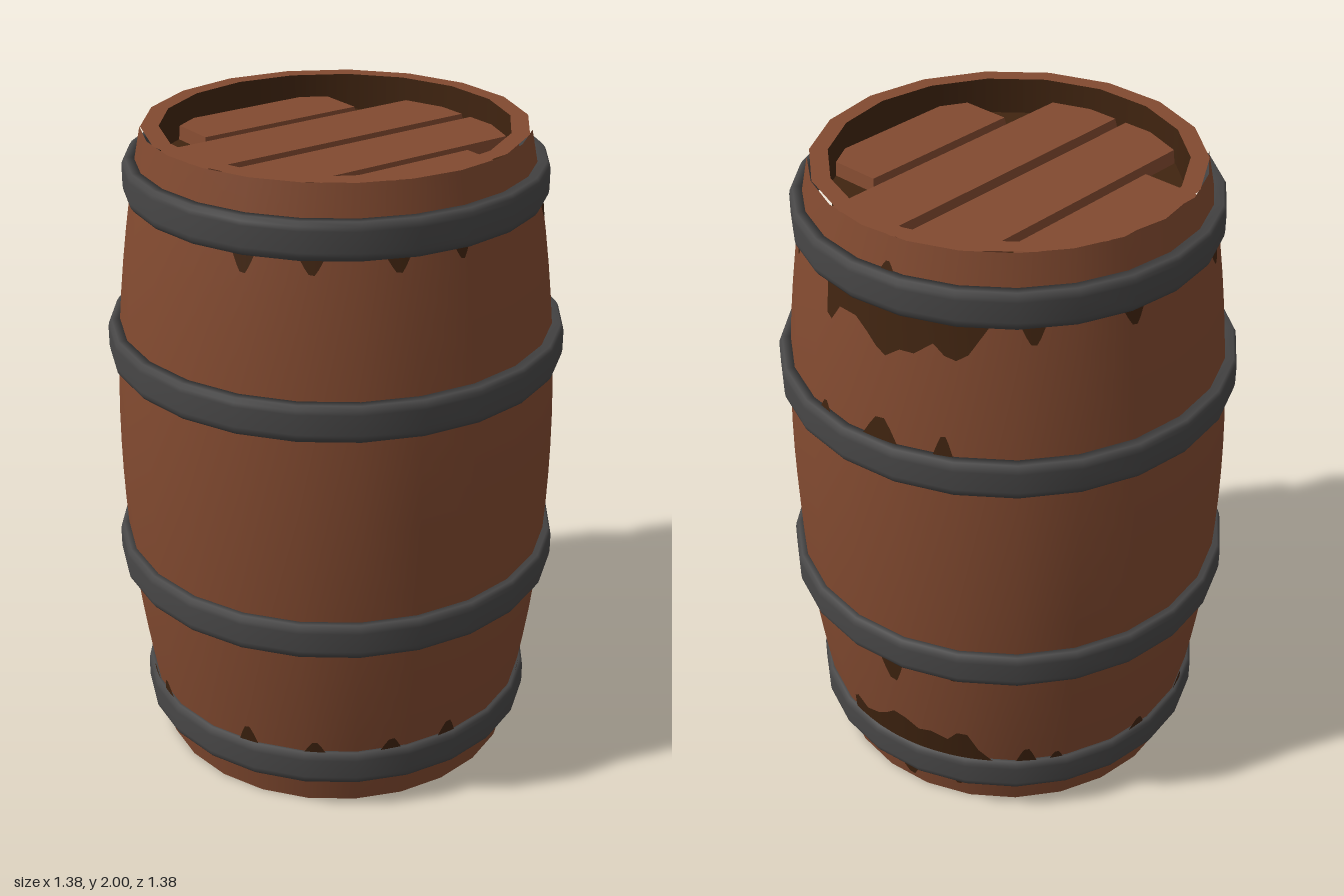
import * as THREE from 'three';

const wood = new THREE.MeshStandardMaterial({ color: 0x824a30 });
wood.name = 'brown wood';
const dark = new THREE.MeshStandardMaterial({ color: 0x402410 });
dark.name = 'dark damp wood';
const iron = new THREE.MeshStandardMaterial({ color: 0x484747 });
iron.name = 'grey iron';

const SIDES = 24;
const bodyRadius = (y) => 0.67 - 0.105 * (y - 1) ** 2;
const rad = THREE.MathUtils.degToRad;

function lathe(points, sides) {
  return new THREE.LatheGeometry(points.map(([x, y]) => new THREE.Vector2(x, y)), sides);
}

// Strip of damp wood hugging the body: outline is a list of [angle in degrees, reach]
function stainGeometry(edge, dir, outline) {
  const pos = [], index = [];
  outline.forEach(([deg, reach], i) => {
    const a = rad(deg);
    for (const y of [edge - dir * 0.015, edge + dir * reach]) {
      const r = bodyRadius(y) + 0.003;
      pos.push(r * Math.sin(a), y, r * Math.cos(a));
    }
    if (i === 0) return;
    const b1 = 2 * i, t1 = b1 + 1, b0 = b1 - 2, t0 = b1 - 1;
    if (dir > 0) index.push(b0, b1, t1, b0, t1, t0);
    else index.push(b0, t1, b1, b0, t0, t1);
  });
  const g = new THREE.BufferGeometry();
  g.setAttribute('position', new THREE.Float32BufferAttribute(pos, 3));
  g.setIndex(index);
  g.computeVertexNormals();
  return g;
}

// Small rounded drip as an outline
const drip = (a, d, w = 3) =>
  [[-1, 0], [-0.6, 0.55], [-0.25, 0.95], [0.25, 1], [0.6, 0.6], [1, 0]].map(([u, v]) => [a + u * w, d * v]);

// Plank with a slightly bevelled top
function plankGeometry(w, h, d) {
  const g = new THREE.BoxGeometry(w, h, d);
  const p = g.attributes.position;
  for (let i = 0; i < p.count; i++) {
    if (p.getY(i) < 0) continue;
    p.setX(i, p.getX(i) - Math.sign(p.getX(i)) * 0.008);
    p.setZ(i, p.getZ(i) - Math.sign(p.getZ(i)) * 0.008);
  }
  g.computeVertexNormals();
  return g;
}

export function createModel() {
  const model = new THREE.Group();
  const add = (name, geometry, material, y = 0, parent = model) => {
    const mesh = new THREE.Mesh(geometry, material);
    mesh.name = name;
    mesh.position.y = y;
    parent.add(mesh);
    return mesh;
  };

  // Bulging body, open at the top, with a dark base
  const profile = [];
  for (let i = 0; i <= 20; i++) profile.push([bodyRadius(i / 10), i / 10]);
  add('body', lathe(profile, SIDES), wood);
  add('base', lathe([[0, 0], [0.565, 0]], SIDES), dark);

  // Rim and the recess inside it
  add('rim', lathe([[0.563, 2], [0.51, 2]], 18), wood);
  add('recessWall', lathe([[0.51, 2], [0.51, 1.88]], 18), dark);
  add('recessFloor', lathe([[0.51, 1.89], [0, 1.89]], 18), dark);

  // Lid planks: two long ones in the middle, a short one on each side
  const lid = new THREE.Group();
  lid.name = 'lid';
  model.add(lid);
  for (const [w, z0, z1] of [[0.56, -0.475, -0.27], [1, -0.25, -0.015], [1, 0.01, 0.24], [0.56, 0.26, 0.475]]) {
    add('lidPlank', plankGeometry(w, 0.05, z1 - z0), wood, 1.905, lid).position.z = (z0 + z1) / 2;
  }

  // Iron hoops with chamfered edges
  for (const [y, r] of [[0.155, 0.622], [0.655, 0.688], [1.355, 0.688], [1.855, 0.622]]) {
    const h = 0.055, inner = r - 0.036;
    add('hoop', lathe([
      [inner, -h], [r - 0.01, -h], [r - 0.002, -h + 0.012], [r, -h + 0.025],
      [r, h - 0.025], [r - 0.002, h - 0.012], [r - 0.01, h], [inner, h], [inner, -h],
    ], SIDES), iron, y);
  }

  // Damp stains: hoop edge, direction, then outlines around the body
  const stains = new THREE.Group();
  stains.name = 'stains';
  model.add(stains);
  const upperPatch = [[79, 0], [80, 0.09], [82, 0.1], [85, 0.05], [91, 0.05], [95, 0.08], [98, 0.11], [101, 0.13],
    [105, 0.1], [109, 0.1], [114, 0.06], [117, 0.09], [120, 0.1], [123, 0.08], [128, 0]];
  const lowerPatch = [[79, 0], [80, 0.06], [82, 0.08], [86, 0.05], [91, 0.07], [95, 0.1], [98, 0.13], [102, 0.12],
    [106, 0.09], [110, 0.1], [115, 0.08], [118, 0.12], [121, 0.12], [124, 0.05], [128, 0]];
  const rows = [
    [1.8, -1, [upperPatch, drip(-60, 0.05), drip(-42, 0.04), drip(-20, 0.04), drip(-2, 0.03, 2), drip(42, 0.045),
      drip(58, 0.03, 2), drip(139, 0.05), drip(166, 0.045), drip(204, 0.04), drip(220, 0.05), drip(238, 0.04)]],
    [0.21, 1, [lowerPatch, drip(-62, 0.06), drip(-42, 0.04), drip(-20, 0.04), drip(-2, 0.05), drip(40, 0.04),
      drip(58, 0.025, 2), drip(138, 0.06), drip(147, 0.03, 2), drip(175, 0.04), drip(198, 0.05), drip(220, 0.04),
      drip(252, 0.04), drip(263, 0.05)]],
    [1.41, 1, [drip(81, 0.03, 2), drip(100, 0.07, 5), drip(117, 0.06, 2.5)]],
    [0.6, -1, [drip(100, 0.1, 4), drip(118, 0.025, 2)]],
    [1.91, 1, [drip(100, 0.025, 2)]],
    [0.1, -1, [drip(83, 0.04, 3), drip(100, 0.07, 4), drip(117, 0.04, 2.5)]],
  ];
  for (const [edge, dir, outlines] of rows) {
    for (const outline of outlines) add('stain', stainGeometry(edge, dir, outline), dark, 0, stains);
  }
  return model;
}
